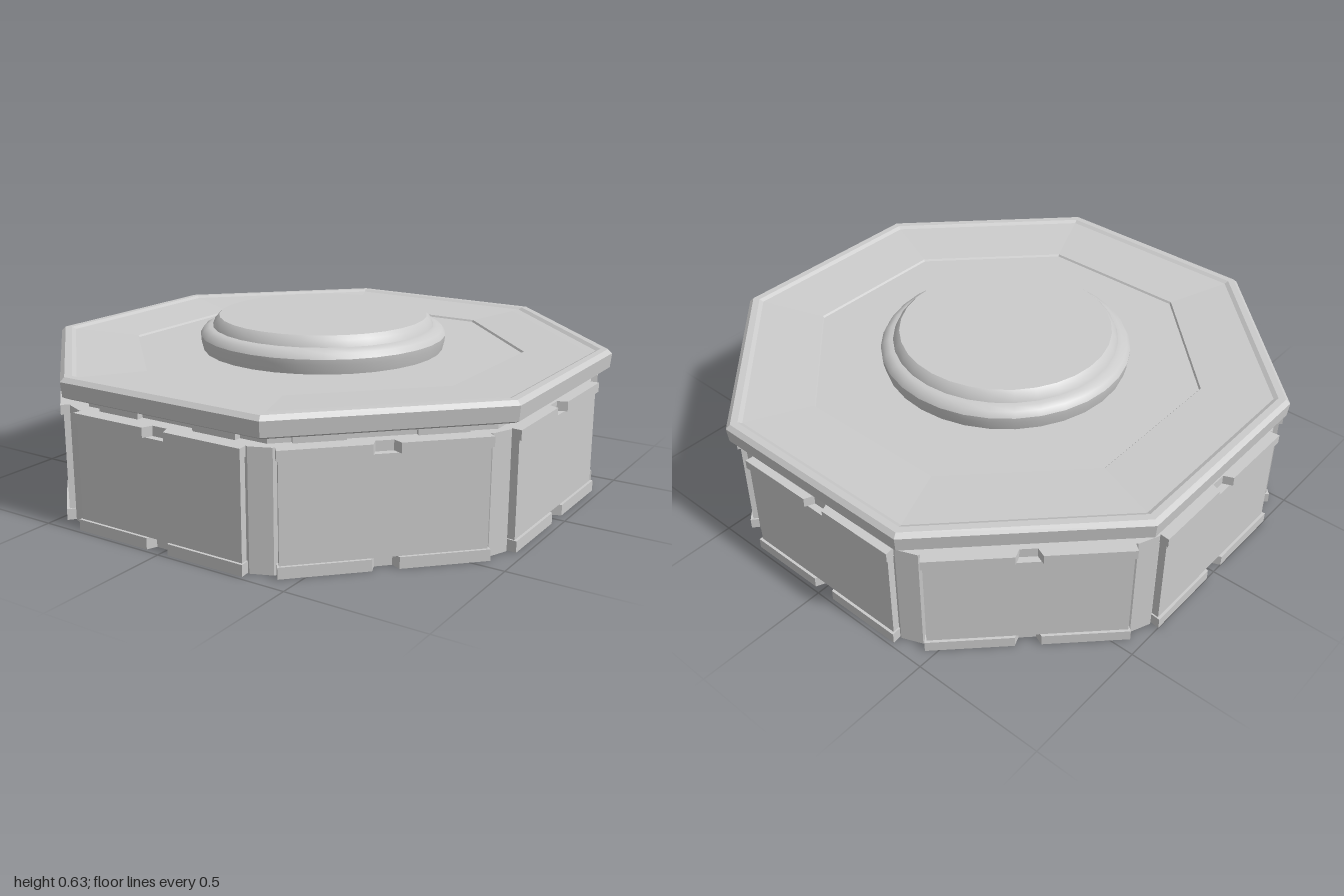
import * as THREE from 'three';
import { toCreasedNormals } from 'three/addons/utils/BufferGeometryUtils.js';

const material = new THREE.MeshStandardMaterial({ color: 0xcccccc });
const flat = new THREE.MeshStandardMaterial({ color: 0xcccccc, flatShading: true });
const SIDES = 8;
const STEP = (Math.PI * 2) / SIDES;

function add(parent, name, geometry, mat = flat) {
  const mesh = new THREE.Mesh(geometry, mat);
  mesh.name = name;
  parent.add(mesh);
  return mesh;
}

// Octagonal solid turned from [distance to flat side, height] pairs
function octagon(profile) {
  const points = profile.map(([a, y]) => new THREE.Vector2(a / Math.cos(STEP / 2), y));
  return new THREE.LatheGeometry(points, SIDES, STEP / 2);
}

// Flat outline in x/z (z measured outward) given a height range
function slab(outline, bottom, top) {
  const shape = new THREE.Shape(outline.map(([x, z]) => new THREE.Vector2(x, -z)));
  const geometry = new THREE.ExtrudeGeometry(shape, { depth: top - bottom, bevelEnabled: false });
  return geometry.rotateX(-Math.PI / 2).translate(0, bottom, 0);
}

function createWall() {
  const wall = new THREE.Group();
  wall.name = 'wallSide';

  // Main panel
  add(wall, 'panel', slab([[-0.33, 0.86], [0.33, 0.86], [0.34, 0.975], [-0.34, 0.975]], 0.04, 0.385));

  // Lower and upper trim strips, each with a small notch in the middle
  const strip = [[-0.335, 0.86], [0.335, 0.86], [0.347, 0.985], [0.045, 0.985],
    [0.03, 0.95], [-0.03, 0.95], [-0.045, 0.985], [-0.347, 0.985]];
  add(wall, 'lowerTrim', slab(strip, 0, 0.04));
  add(wall, 'upperTrim', slab(strip, 0.385, 0.42));

  // Short spacer blocks between wall and lid
  for (const side of [-1, 1]) {
    add(wall, 'spacer', new THREE.BoxGeometry(0.17, 0.05, 0.06)).position.set(side * 0.2, 0.44, 0.895);
  }
  return wall;
}

export function createModel() {
  const model = new THREE.Group();
  model.name = 'octagonalBase';

  // Body: recessed core, wall panels and corner pillars
  const body = new THREE.Group();
  body.name = 'body';
  body.position.x = -0.015;
  model.add(body);
  add(body, 'core', octagon([[0, 0], [0.91, 0], [0.91, 0.42], [0, 0.42]]));
  for (let i = 0; i < SIDES; i++) {
    const wall = createWall();
    wall.rotation.y = i * STEP;
    body.add(wall);

    const pillar = add(body, 'cornerPillar',
      slab([[-0.065, 0.9], [0.065, 0.9], [0.055, 1.0], [0.04, 1.015], [-0.04, 1.015], [-0.055, 1.0]], 0, 0.42));
    pillar.rotation.y = (i + 0.5) * STEP;
  }

  // Neck joining body and lid
  add(model, 'neck', octagon([[0, 0.41], [0.9, 0.41], [0.9, 0.47], [0, 0.47]]));

  // Lid: raised rim with a sloped border down to a sunken floor
  add(model, 'lid', octagon([
    [0, 0.457], [0.965, 0.457], [0.985, 0.467], [0.99, 0.52], [0.975, 0.535],
    [0.95, 0.535], [0.935, 0.527], [0.9, 0.525], [0.695, 0.512], [0.69, 0.505], [0, 0.505],
  ]));

  // Round stepped hub
  const profile = [[0.455, 0.5], [0.465, 0.54], [0.467, 0.56], [0.455, 0.58], [0.435, 0.59],
    [0.42, 0.592], [0.41, 0.615], [0.395, 0.63], [0, 0.63]];
  const hub = new THREE.LatheGeometry(profile.map(([r, y]) => new THREE.Vector2(r, y)), 32);
  add(model, 'hub', toCreasedNormals(hub, 0.6), material).position.x = -0.01;

  return model;
}
